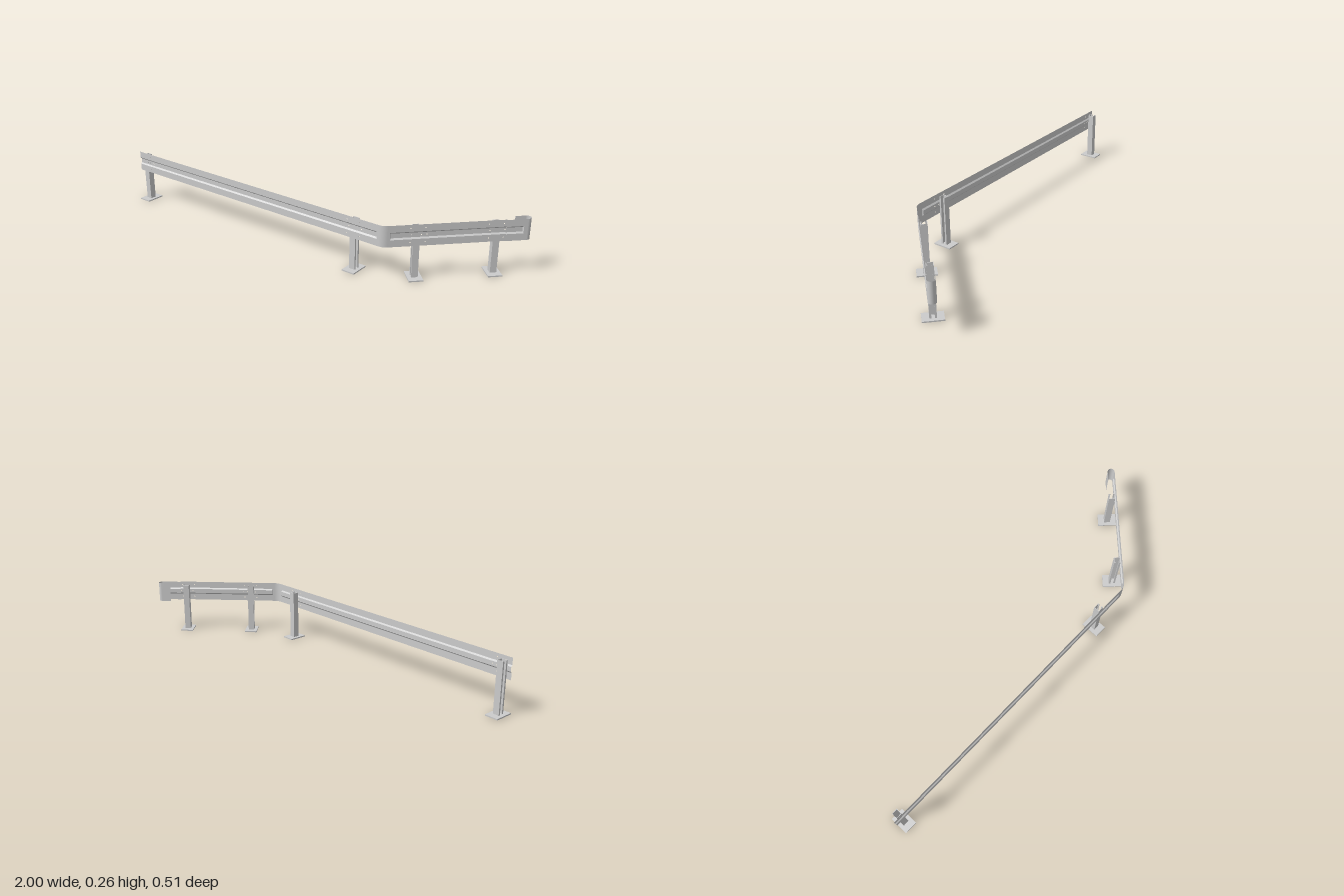
import * as THREE from 'three';

const mat = new THREE.MeshStandardMaterial({ color: 0xcccccc });
const sheetMat = new THREE.MeshStandardMaterial({ color: 0xcccccc, side: THREE.DoubleSide });

// Rail section heights, groove depth and plan layout
const TOP = 0.264, BOTTOM = 0.163, G_TOP = 0.231, G_BOTTOM = 0.196, LIP = 0.0065, DEPTH = 0.0065;
const FACE_Z = 0.23, CORNER_X = 0.5405, BEND = 0.02, HOLE = 0.0026;

function add(parent, name, geometry, material = sheetMat) {
  const mesh = new THREE.Mesh(geometry, material);
  mesh.name = name;
  parent.add(mesh);
  return mesh;
}

// Flat rectangular sheet pierced by whichever bolt holes fall inside it
function sheet(parent, name, x0, x1, y0, y1, z, holes) {
  const shape = new THREE.Shape([[x0, y0], [x1, y0], [x1, y1], [x0, y1]].map(p => new THREE.Vector2(...p)));
  for (const [x, y] of holes) {
    if (x - HOLE > x0 && x + HOLE < x1 && y - HOLE > y0 && y + HOLE < y1) {
      shape.holes.push(new THREE.Path().absarc(x, y, HOLE, 0, Math.PI * 2, true));
    }
  }
  add(parent, name, new THREE.ShapeGeometry(shape, 6)).position.z = z;
}

// Four corners, counter-clockwise from the front
function quad(parent, name, a, b, c, d) {
  const g = new THREE.BufferGeometry();
  g.setAttribute('position', new THREE.Float32BufferAttribute([...a, ...b, ...c, ...d], 3));
  g.setIndex([0, 1, 2, 0, 2, 3]);
  g.computeVertexNormals();
  add(parent, name, g);
}

// Upright sheet following a plan path of [x, z] points
function ribbon(parent, name, path) {
  const g = new THREE.PlaneGeometry(1, 1, path.length - 1, 1);
  const p = g.attributes.position;
  for (let i = 0; i < p.count; i++) {
    const [x, z] = path[i % path.length];
    p.setXYZ(i, x, i < path.length ? TOP : BOTTOM, z);
  }
  g.computeVertexNormals();
  add(parent, name, g);
}

// Rail panel from x0 to x1 with a pressed groove from g0 to g1, open where it reaches an end
function panel(parent, x0, x1, g0, g1, holes) {
  sheet(parent, 'upperBand', x0, x1, G_TOP, TOP, 0, holes);
  sheet(parent, 'lowerBand', x0, x1, BOTTOM, G_BOTTOM, 0, holes);
  if (g0 > x0) sheet(parent, 'startWeb', x0, g0, G_BOTTOM, G_TOP, 0, holes);
  if (g1 < x1) sheet(parent, 'endWeb', g1, x1, G_BOTTOM, G_TOP, 0, holes);
  const f0 = g0 > x0 ? g0 + 0.004 : g0, f1 = g1 < x1 ? g1 - 0.004 : g1;
  const ft = G_TOP - LIP, fb = G_BOTTOM + LIP;
  sheet(parent, 'grooveFloor', f0, f1, fb, ft, -DEPTH, holes);
  quad(parent, 'grooveTop', [f0, ft, -DEPTH], [f1, ft, -DEPTH], [g1, G_TOP, 0], [g0, G_TOP, 0]);
  quad(parent, 'grooveBottom', [g0, G_BOTTOM, 0], [g1, G_BOTTOM, 0], [f1, fb, -DEPTH], [f0, fb, -DEPTH]);
  if (g0 > x0) quad(parent, 'grooveStart', [g0, G_BOTTOM, 0], [f0, fb, -DEPTH], [f0, ft, -DEPTH], [g0, G_TOP, 0]);
  if (g1 < x1) quad(parent, 'grooveEnd', [f1, fb, -DEPTH], [g1, G_BOTTOM, 0], [g1, G_TOP, 0], [f1, ft, -DEPTH]);
}

// Bolt pattern: two outer rows of two holes and a middle row of four
function boltHoles(c, w) {
  return [
    ...[-w, w].flatMap(o => [[c + o, 0.247], [c + o, 0.181]]),
    ...[-0.026, 0, 0.017, 0.041].map(o => [c + o, 0.2135]),
  ];
}

// Lipped channel post on a base plate, open towards +x or -x
function post(parent, x, open) {
  const group = new THREE.Group();
  group.name = 'post';
  const w = 0.015, d = 0.0155, t = 0.0025, l = 0.0085;
  const half = [[w, d - l], [w, d], [-w, d]];
  const inner = [[-w + t, d - t], [w - t, d - t], [w - t, d - l]];
  const flip = list => list.map(([a, b]) => [a, -b]).reverse();
  const outline = [...half, ...flip(half), ...flip(inner), ...inner];
  const shape = new THREE.Shape(outline.map(p => new THREE.Vector2(...p)));
  const channel = new THREE.ExtrudeGeometry(shape, { depth: 0.244, bevelEnabled: false });
  channel.rotateX(-Math.PI / 2);
  add(group, 'channel', channel, mat).position.y = 0.006;
  add(group, 'basePlate', new THREE.BoxGeometry(0.065, 0.006, 0.094), mat).position.y = 0.003;
  group.position.set(x, 0, -0.022);
  group.rotation.y = open > 0 ? 0 : Math.PI;
  parent.add(group);
}

function section(parent, name, x, z, angle) {
  const group = new THREE.Group();
  group.name = name;
  group.position.set(x, 0, z);
  group.rotation.y = angle;
  parent.add(group);
  return group;
}

export function createModel() {
  const model = new THREE.Group();
  model.name = 'guardrail';

  // Long straight run
  const main = section(model, 'mainRail', -1, FACE_Z, 0);
  panel(main, 0, CORNER_X - BEND + 1, 0, 1.508, [...boltHoles(0.054, 0.022), ...boltHoles(1.385, 0.033)]);
  post(main, 0.035, -1);
  post(main, 1.378, 1);

  // Rounded corner
  const R = BEND / Math.tan(Math.PI / 8);
  const bend = [];
  for (let i = 0; i <= 8; i++) {
    const a = (i / 8) * Math.PI / 4;
    bend.push([CORNER_X - BEND + R * Math.sin(a), FACE_Z - R + R * Math.cos(a)]);
  }
  ribbon(model, 'cornerBend', bend);

  // Short angled run
  const side = section(model, 'angledRail', CORNER_X, FACE_Z, Math.PI / 4);
  const joint = 0.544, end = 0.642;
  panel(side, BEND, joint, 0.031, joint, [...boltHoles(0.153, 0.033), ...boltHoles(0.5, 0.033)]);
  post(side, 0.149, -1);
  post(side, 0.506, 1);

  // End terminal curling back behind the rail, set slightly lower
  const terminal = section(side, 'endTerminal', 0, 0, 0);
  terminal.position.y = -0.002;
  panel(terminal, joint, end, joint, 0.624, []);
  const r = 0.018, curl = [];
  for (let i = 0; i <= 16; i++) {
    const a = (i / 16) * Math.PI;
    curl.push([end + r * Math.sin(a), -r + r * Math.cos(a)]);
  }
  curl.push([end - 0.048, -2 * r]);
  ribbon(terminal, 'endCurl', curl);

  return model;
}
